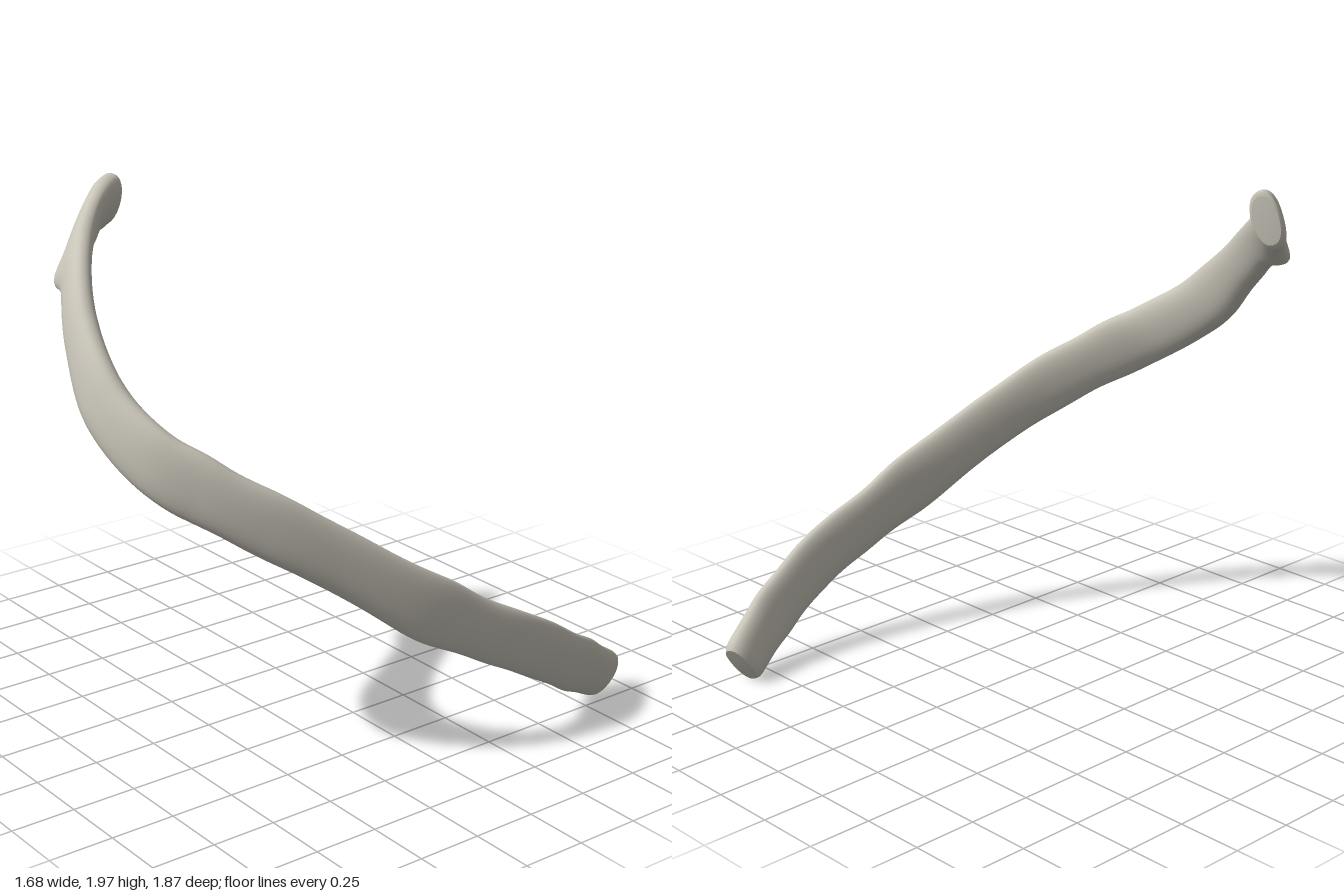
import * as THREE from 'three';

// Stations from head to front end: centre x, y, z, half height, half thickness, lean (top outward +)
const stations = [
  [-0.802, 1.9, 0.368, 0.1, 0.054, -0.3],
  [-0.775, 1.895, 0.41, 0.105, 0.053, -0.3],
  [-0.72, 1.862, 0.495, 0.096, 0.046, -0.35],
  [-0.61, 1.785, 0.62, 0.092, 0.047, -0.4],
  [-0.47, 1.695, 0.725, 0.093, 0.047, -0.35],
  [-0.3, 1.56, 0.815, 0.1, 0.051, -0.28],
  [-0.07, 1.36, 0.868, 0.114, 0.054, -0.22],
  [0.15, 1.21, 0.822, 0.12, 0.05, -0.12],
  [0.3, 1.11, 0.71, 0.122, 0.044, -0.05],
  [0.45, 0.985, 0.53, 0.118, 0.041, 0],
  [0.575, 0.835, 0.31, 0.116, 0.04, 0],
  [0.7, 0.635, 0.03, 0.124, 0.039, 0],
  [0.757, 0.5, -0.2, 0.116, 0.037, 0.03],
  [0.788, 0.395, -0.4, 0.114, 0.037, 0.1],
  [0.778, 0.275, -0.6, 0.112, 0.039, 0.2],
  [0.743, 0.185, -0.75, 0.106, 0.044, 0.3],
  [0.69, 0.1, -0.895, 0.097, 0.052, 0.36],
];
const LENGTH_STEPS = 160, SIDES = 32;

const path = new THREE.CatmullRomCurve3(stations.map(s => new THREE.Vector3(s[0], s[1], s[2])));
const section = new THREE.CatmullRomCurve3(stations.map(s => new THREE.Vector3(s[3], s[4], s[5])));

// Local swellings: centre, radius, push
const bumps = [
  { at: new THREE.Vector3(-0.6, 1.7, 0.7), r: 0.065, push: new THREE.Vector3(-0.015, -0.03, 0.03) },
  { at: new THREE.Vector3(-0.7, 1.79, 0.55), r: 0.05, push: new THREE.Vector3(0.01, 0.012, -0.012) },
  { at: new THREE.Vector3(-0.79, 1.82, 0.42), r: 0.05, push: new THREE.Vector3(-0.012, -0.012, 0.008) },
];

const softPower = (v, e) => Math.sign(v) * Math.abs(v) ** e;

// One oval cross-section of the bone at t along its length
function ring(t) {
  const c = path.getPoint(t), T = path.getTangent(t), s = section.getPoint(t);
  const up = new THREE.Vector3(0, 1, 0).addScaledVector(T, -T.y).normalize();
  const out = new THREE.Vector3().crossVectors(T, up);
  const U = up.clone().multiplyScalar(Math.cos(s.z)).addScaledVector(out, Math.sin(s.z));
  const N = out.clone().multiplyScalar(Math.cos(s.z)).addScaledVector(up, -Math.sin(s.z));
  // rounded rims at both ends and slightly uneven edges
  const d = Math.min(1, Math.min(t, 1 - t) / 0.016);
  const rim = 0.86 + 0.14 * Math.sqrt(1 - (1 - d) ** 2);
  const wave = 1 + 0.018 * Math.sin(t * 57) + 0.014 * Math.sin(t * 91 + 1);
  const points = [];
  for (let j = 0; j < SIDES; j++) {
    const a = j / SIDES * Math.PI * 2;
    const p = c.clone()
      .addScaledVector(U, softPower(Math.cos(a), 0.9) * s.x * rim * wave)
      .addScaledVector(N, softPower(Math.sin(a), 0.85) * s.y * rim);
    for (const b of bumps) p.addScaledVector(b.push, Math.exp(-((p.distanceTo(b.at) / b.r) ** 2)));
    points.push(p);
  }
  return points;
}

function geometryFrom(points, index) {
  const g = new THREE.BufferGeometry().setFromPoints(points);
  g.setIndex(index);
  g.computeVertexNormals();
  return g;
}

// Loft the rings into a smooth shaft
function shaftGeometry() {
  const points = [], index = [];
  for (let i = 0; i <= LENGTH_STEPS; i++) points.push(...ring(i / LENGTH_STEPS));
  for (let i = 0; i < LENGTH_STEPS; i++) {
    for (let j = 0; j < SIDES; j++) {
      const k = (j + 1) % SIDES;
      const a = i * SIDES + j, b = i * SIDES + k;
      index.push(a, b, b + SIDES, a, b + SIDES, a + SIDES);
    }
  }
  return geometryFrom(points, index);
}

// Nearly flat oval face closing one end
function capGeometry(t) {
  const rim = ring(t), index = [];
  const centre = rim.reduce((sum, p) => sum.add(p), new THREE.Vector3()).divideScalar(SIDES);
  centre.addScaledVector(path.getTangent(t), t > 0 ? 0.005 : -0.005);
  for (let j = 0; j < SIDES; j++) {
    const k = (j + 1) % SIDES;
    index.push(SIDES, ...(t > 0 ? [j, k] : [k, j]));
  }
  return geometryFrom([...rim, centre], index);
}

export function createModel() {
  const bone = new THREE.MeshStandardMaterial({ color: 0xc8c4b8 });
  bone.name = 'bone';
  const model = new THREE.Group();
  model.name = 'rib';
  const add = (name, geometry) => {
    const mesh = new THREE.Mesh(geometry, bone);
    mesh.name = name;
    model.add(mesh);
  };
  add('ribShaft', shaftGeometry());
  add('headFace', capGeometry(0));
  add('frontEndFace', capGeometry(1));
  return model;
}
